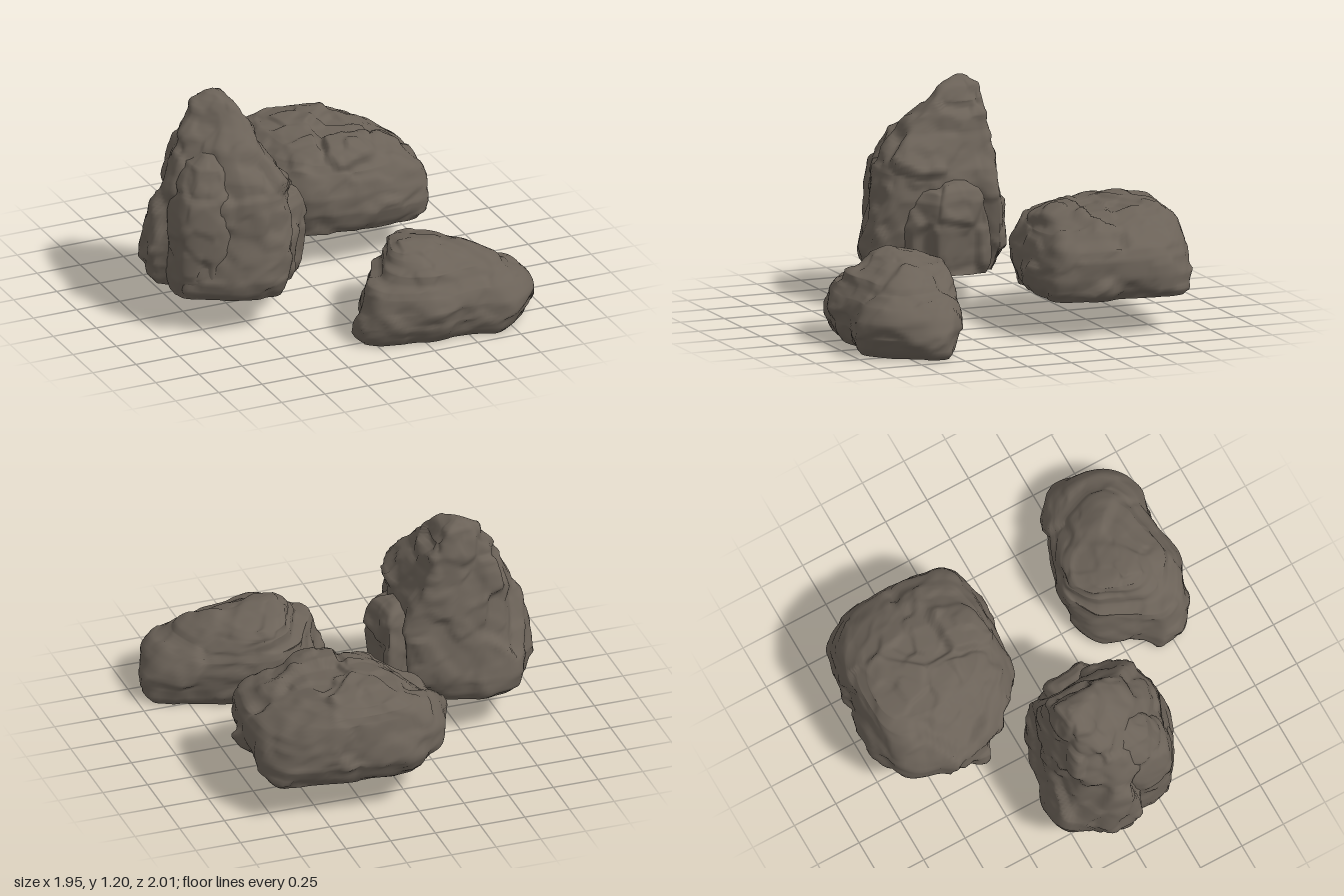
import * as THREE from 'three';

// Repeatable hash in 0..1 for an integer lattice cell
function hash(x, y, z, k) {
  let h = Math.imul(x, 374761393) ^ Math.imul(y, 668265263) ^ Math.imul(z, 1274126177) ^ Math.imul(k, 974634541);
  h = Math.imul(h ^ (h >>> 13), 1274126177);
  h = Math.imul(h ^ (h >>> 16), 2246822519);
  return ((h ^ (h >>> 15)) >>> 0) / 4294967296;
}

// Chunky noise: each cell is a tilted facet, blended narrowly into its neighbours
function facets(x, y, z, seed, sharp) {
  const ix = Math.floor(x), iy = Math.floor(y), iz = Math.floor(z);
  let sum = 0, total = 1e-9;
  for (let a = -1; a <= 1; a++) for (let b = -1; b <= 1; b++) for (let c = -1; c <= 1; c++) {
    const r = (k) => hash(ix + a, iy + b, iz + c, seed * 8 + k);
    const dx = x - ix - a - r(0), dy = y - iy - b - r(1), dz = z - iz - c - r(2);
    const w = Math.exp(-sharp * (dx * dx + dy * dy + dz * dz));
    const v = (r(3) - 0.5) * 1.3 + dx * (r(4) - 0.5) + dy * (r(5) - 0.5) + dz * (r(6) - 0.5);
    sum += w * v;
    total += w;
  }
  return sum / total;
}

const N = 120; // points round each ring

// Scale a ring of [x, z] points to span -1..1 both ways
function normalise(ring) {
  const axis = (k) => {
    const v = ring.map((p) => p[k]), lo = Math.min(...v), hi = Math.max(...v);
    return v.map((t) => (2 * t - lo - hi) / (hi - lo));
  };
  const xs = axis(0), zs = axis(1);
  return xs.map((x, i) => [x, zs[i]]);
}

function smoothRing(points) {
  const curve = new THREE.CatmullRomCurve3(points.map(([x, z]) => new THREE.Vector3(x, 0, z)), true, 'centripetal');
  return normalise(curve.getSpacedPoints(N).slice(0, N).map((p) => [p.x, p.z]));
}

// Rock lofted from a ground outline to a crown outline, both [x, z] clockwise from the
// back right corner, through levels [y, xMin, xMax, zMin, zMax]
function rockGeometry({ outline, crown = outline, levels, seed, amp = 0.03, strata = 1 }) {
  const low = smoothRing(outline), high = smoothRing(crown);

  // Finely spaced rows between the levels
  const rows = [];
  levels.slice(1).forEach((b, i) => {
    const a = levels[i];
    const steps = Math.ceil(Math.max(...a.map((v, k) => Math.abs(v - b[k]))) / 0.018);
    for (let s = 0; s < steps; s++) rows.push(a.map((v, k) => v + (b[k] - v) * s / steps));
  });
  const top = levels[levels.length - 1];
  rows.push(top);

  const y0 = levels[0][0], y1 = top[0];
  const pos = [], index = [];
  rows.forEach(([y, xa, xb, za, zb], i) => {
    const t = Math.min(1, (y - y0) / (y1 - y0) * 1.2);
    const ring = normalise(low.map(([u, v], j) => [u + (high[j][0] - u) * t, v + (high[j][1] - v) * t]));
    ring.forEach(([u, v], j) => {
      pos.push((xa + xb) / 2 + u * (xb - xa) / 2, y, (za + zb) / 2 + v * (zb - za) / 2);
      const n = (j + 1) % N, p = i * N;
      if (i < rows.length - 1) index.push(p + j, p + N + j, p + n, p + n, p + N + j, p + N + n);
      else index.push(p + j, rows.length * N, p + n);
    });
  });
  pos.push((top[1] + top[2]) / 2, y1, (top[3] + top[4]) / 2);

  const geo = new THREE.BufferGeometry();
  geo.setAttribute('position', new THREE.Float32BufferAttribute(pos, 3));
  geo.setIndex(index);
  geo.computeVertexNormals();

  // Push the surface in and out, keeping the foot flat
  const P = geo.attributes.position, Nn = geo.attributes.normal;
  for (let i = 0; i < P.count; i++) {
    const x = P.getX(i), y = P.getY(i), z = P.getZ(i);
    const d = amp * (facets(x * 4, y * 4 * strata, z * 4, seed, 20)
      + 0.45 * facets(x * 9, y * 9 * strata, z * 9, seed + 1, 14) - 0.25);
    const fade = Math.min(1, (y - y0) / 0.06);
    P.setXYZ(i, x + Nn.getX(i) * d, y + Nn.getY(i) * d * fade, z + Nn.getZ(i) * d);
  }
  geo.computeVertexNormals();

  // Flat underside from the foot ring
  const foot = new THREE.BufferGeometry(), fp = [], fi = [];
  for (let j = 0; j < N; j++) {
    fp.push(P.getX(j), y0, P.getZ(j));
    fi.push(N, j, (j + 1) % N);
  }
  const f = levels[0];
  fp.push((f[1] + f[2]) / 2, y0, (f[3] + f[4]) / 2);
  foot.setAttribute('position', new THREE.Float32BufferAttribute(fp, 3));
  foot.setIndex(fi);
  foot.computeVertexNormals();
  return [geo, foot];
}

export function createModel() {
  const stone = new THREE.MeshStandardMaterial({ color: 0x6b6258 });
  stone.name = 'stone';
  const model = new THREE.Group();
  model.name = 'rocks';

  const addRock = (name, spec) => {
    const group = new THREE.Group();
    group.name = name;
    rockGeometry(spec).forEach((g, i) => {
      const mesh = new THREE.Mesh(g, stone);
      mesh.name = name + (i ? 'Underside' : 'Surface');
      group.add(mesh);
    });
    model.add(group);
  };

  // Tall pointed rock, with a steep back and a ridge down its back left corner
  addRock('tallRock', {
    seed: 3, amp: 0.04,
    outline: [[-0.78, -0.34], [-0.5, -0.34], [-0.38, -0.28], [-0.2, -0.2], [-0.24, -0.14], [-0.36, -0.06], [-0.34, 0.06], [-0.28, 0.24],
      [-0.36, 0.48], [-0.5, 0.5], [-0.6, 0.46], [-0.8, 0.36], [-0.91, 0.28], [-0.9, 0.1], [-0.97, 0.03], [-0.93, -0.12], [-0.85, -0.2]],
    crown: [[-0.7, -0.18], [-0.58, -0.2], [-0.4, -0.2], [-0.36, -0.12], [-0.37, 0.04], [-0.42, 0.18], [-0.52, 0.2], [-0.64, 0.1], [-0.75, -0.04]],
    levels: [[0.2, -0.92, -0.21, -0.31, 0.45], [0.24, -0.95, -0.2, -0.34, 0.48], [0.32, -0.97, -0.19, -0.35, 0.5],
      [0.45, -0.95, -0.19, -0.32, 0.48], [0.6, -0.92, -0.2, -0.28, 0.44], [0.75, -0.88, -0.24, -0.24, 0.42],
      [0.85, -0.84, -0.31, -0.22, 0.37], [0.92, -0.81, -0.35, -0.21, 0.3], [1.0, -0.76, -0.36, -0.2, 0.21],
      [1.1, -0.66, -0.37, -0.19, 0.09], [1.16, -0.61, -0.43, -0.18, 0.02], [1.19, -0.56, -0.51, -0.13, -0.06]],
  });

  // Block leaning against its left flank
  addRock('tallRockSideBlock', {
    seed: 17, amp: 0.03,
    outline: [[-0.5, -0.11], [-0.24, -0.13], [-0.14, -0.13], [-0.12, 0.05], [-0.1, 0.2], [-0.2, 0.27], [-0.3, 0.33], [-0.5, 0.34]],
    levels: [[0.2, -0.5, -0.13, -0.11, 0.3], [0.26, -0.5, -0.11, -0.13, 0.33], [0.45, -0.5, -0.1, -0.13, 0.33],
      [0.6, -0.5, -0.11, -0.1, 0.31], [0.66, -0.48, -0.14, -0.07, 0.27], [0.69, -0.44, -0.19, -0.02, 0.2], [0.7, -0.4, -0.3, 0.06, 0.12]],
  });

  // Slab on its right front face
  addRock('tallRockFrontSlab', {
    seed: 29, amp: 0.025,
    outline: [[-0.9, 0.0], [-0.6, 0.0], [-0.56, 0.3], [-0.66, 0.38], [-0.8, 0.36], [-0.92, 0.28]],
    levels: [[0.2, -0.89, -0.56, 0, 0.34], [0.3, -0.91, -0.55, 0, 0.37], [0.6, -0.89, -0.56, 0, 0.36],
      [0.8, -0.84, -0.58, 0, 0.32], [0.92, -0.78, -0.58, 0, 0.26], [0.97, -0.69, -0.62, 0.08, 0.16]],
  });

  // Broad domed rock at the back
  addRock('broadRock', {
    seed: 41, amp: 0.035,
    outline: [[-0.02, -0.98], [0.28, -1], [0.6, -0.96], [0.75, -0.92], [0.8, -0.8], [0.79, -0.5], [0.76, -0.15], [0.72, -0.09],
      [0.58, -0.07], [0.3, -0.1], [0, -0.17], [-0.12, -0.32], [-0.2, -0.42], [-0.28, -0.48], [-0.28, -0.65], [-0.18, -0.75], [-0.15, -0.9]],
    crown: [[-0.04, -0.92], [0.25, -0.97], [0.5, -0.92], [0.64, -0.76], [0.68, -0.48], [0.62, -0.24], [0.38, -0.14],
      [0.1, -0.18], [-0.08, -0.35], [-0.14, -0.55], [-0.13, -0.78]],
    levels: [[0.2, -0.23, 0.76, -0.93, -0.12], [0.24, -0.26, 0.79, -0.96, -0.09], [0.32, -0.28, 0.8, -1, -0.07],
      [0.42, -0.26, 0.8, -0.99, -0.08], [0.48, -0.21, 0.77, -0.98, -0.1], [0.55, -0.13, 0.68, -0.97, -0.13],
      [0.6, -0.07, 0.57, -0.95, -0.18], [0.64, 0.01, 0.46, -0.9, -0.27], [0.655, 0.1, 0.34, -0.75, -0.4], [0.66, 0.19, 0.23, -0.6, -0.56]],
  });

  // Low layered rock at the front, its ledges stepping back to a sloping top
  addRock('lowRock', {
    seed: 71, amp: 0.025, strata: 1.3,
    outline: [[0.16, 0.33], [0.3, 0.3], [0.55, 0.36], [0.78, 0.44], [0.88, 0.51], [0.95, 0.56], [0.95, 0.64], [0.89, 0.74], [0.84, 0.86],
      [0.75, 0.95], [0.65, 1], [0.5, 0.94], [0.3, 0.95], [0.1, 0.9], [-0.08, 0.82], [-0.1, 0.66], [-0.04, 0.6], [0.06, 0.42]],
    crown: [[0.15, 0.4], [0.3, 0.33], [0.55, 0.4], [0.66, 0.55], [0.72, 0.68], [0.65, 0.78], [0.45, 0.82], [0.25, 0.85], [0.08, 0.78], [0.02, 0.68], [0.1, 0.5]],
    levels: [[0, -0.08, 0.93, 0.35, 0.94], [0.03, -0.1, 0.96, 0.33, 0.97], [0.1, -0.1, 0.97, 0.31, 1], [0.2, -0.06, 0.92, 0.3, 0.99],
      [0.27, -0.03, 0.87, 0.31, 0.96], [0.31, 0, 0.79, 0.32, 0.93], [0.33, 0.07, 0.76, 0.33, 0.91], [0.38, 0.1, 0.68, 0.33, 0.89],
      [0.4, 0.13, 0.63, 0.34, 0.84], [0.43, 0.14, 0.57, 0.37, 0.8], [0.46, 0.16, 0.45, 0.45, 0.74], [0.48, 0.22, 0.3, 0.56, 0.64]],
  });

  return model;
}
